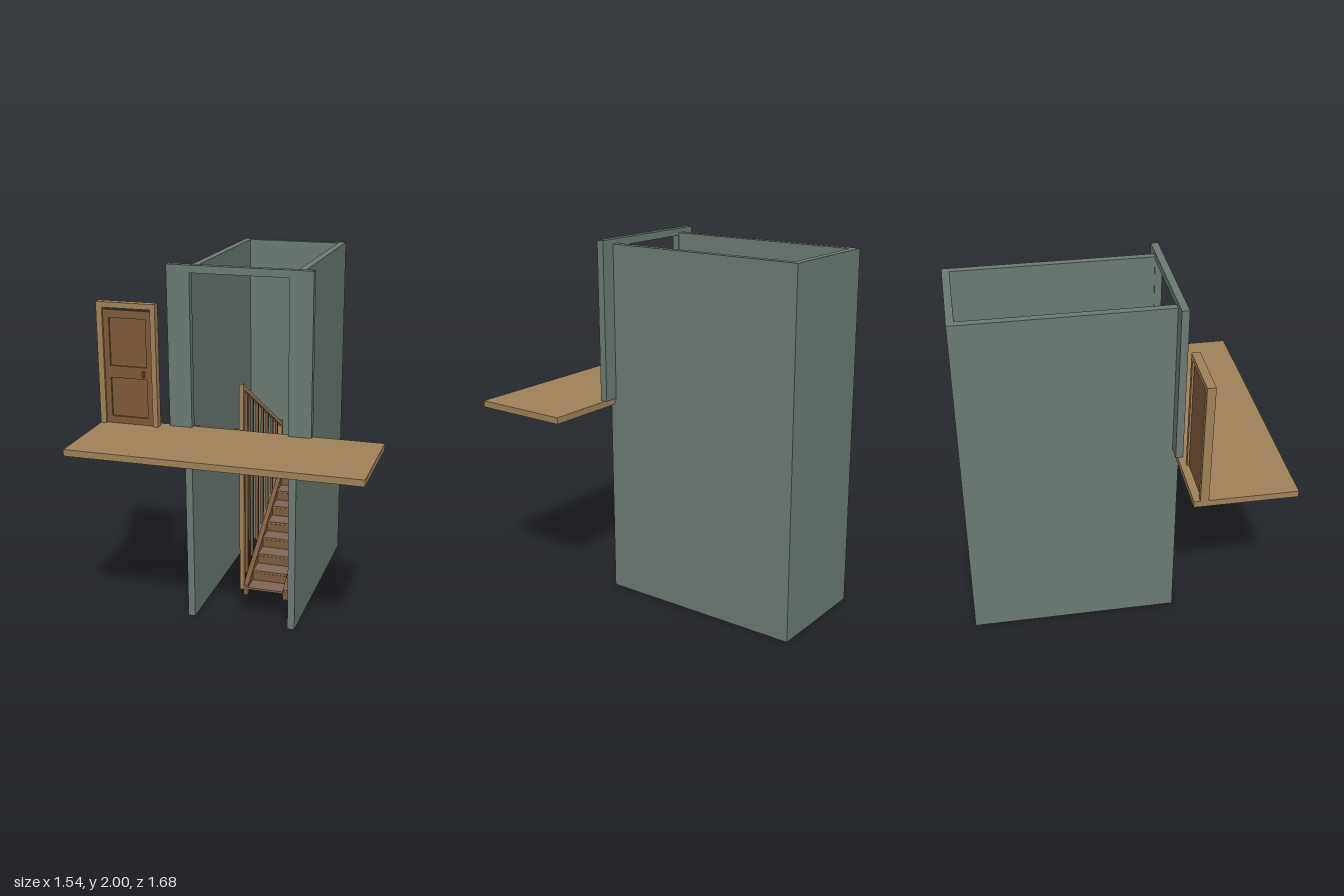
import * as THREE from 'three';

const mat = (name, color) => {
  const m = new THREE.MeshStandardMaterial({ color });
  m.name = name;
  return m;
};

export function createModel() {
  const root = new THREE.Group();
  root.name = 'stairwell';
  const wall = mat('grey green plaster', 0x6b7a72);
  const tan = mat('light wood', 0xa08258);
  const brown = mat('brown wood', 0x7d593b);
  const stone = mat('dull brown tread', 0x806656);

  const group = (name, parent = root) => {
    const g = new THREE.Group();
    g.name = name;
    parent.add(g);
    return g;
  };
  // Box given by its minimum and maximum on each axis
  const box = (parent, name, m, x0, x1, y0, y1, z0, z1) => {
    const mesh = new THREE.Mesh(new THREE.BoxGeometry(x1 - x0, y1 - y0, z1 - z0), m);
    mesh.position.set((x0 + x1) / 2, (y0 + y1) / 2, (z0 + z1) / 2);
    mesh.name = name;
    parent.add(mesh);
  };
  // Sloping board between two top points in the z-y plane
  const slope = (parent, name, m, x0, x1, za, ya, zb, yb, depth) => {
    const s = new THREE.Shape([
      new THREE.Vector2(za, ya - depth), new THREE.Vector2(zb, yb - depth),
      new THREE.Vector2(zb, yb), new THREE.Vector2(za, ya),
    ]);
    const g = new THREE.ExtrudeGeometry(s, { depth: x1 - x0, bevelEnabled: false });
    g.rotateY(-Math.PI / 2).translate(x1, 0, 0);
    const mesh = new THREE.Mesh(g, m);
    mesh.name = name;
    parent.add(mesh);
  };

  // Shaft, open at the top, bottom and front
  const shaft = group('shaft');
  box(shaft, 'leftWall', wall, 0.27, 0.31, 0, 1.975, -0.84, 0.32);
  box(shaft, 'rightWall', wall, -0.31, -0.27, 0, 1.975, -0.84, 0.32);
  box(shaft, 'backWall', wall, -0.27, 0.27, 0, 1.975, -0.84, -0.8);

  // Surround of the upper opening
  const surround = group('openingSurround');
  box(surround, 'leftJamb', wall, 0.265, 0.39, 1.13, 2, 0.286, 0.326);
  box(surround, 'rightJamb', wall, -0.39, -0.265, 1.13, 2, 0.286, 0.326);
  box(surround, 'lintel', wall, -0.265, 0.265, 1.96, 2, 0.286, 0.326);

  // Upper floor
  box(root, 'upperFloor', tan, -0.77, 0.77, 1.095, 1.13, 0.297, 0.84);

  // Door with its frame, two sunk panels and a knob
  const door = group('door');
  box(door, 'frameRight', tan, -0.77, -0.737, 1.13, 1.795, 0.33, 0.374);
  box(door, 'frameLeft', tan, -0.468, -0.44, 1.13, 1.795, 0.33, 0.374);
  box(door, 'frameHead', tan, -0.737, -0.468, 1.765, 1.795, 0.33, 0.374);
  const leaf = new THREE.Shape([
    new THREE.Vector2(-0.737, 1.131), new THREE.Vector2(-0.468, 1.131),
    new THREE.Vector2(-0.468, 1.753), new THREE.Vector2(-0.737, 1.753),
  ]);
  for (const [y0, y1] of [[1.17, 1.385], [1.45, 1.71]]) {
    leaf.holes.push(new THREE.Path([
      new THREE.Vector2(-0.705, y0), new THREE.Vector2(-0.705, y1),
      new THREE.Vector2(-0.5, y1), new THREE.Vector2(-0.5, y0),
    ]));
    box(door, 'panel', brown, -0.705, -0.5, y0, y1, 0.34, 0.352);
  }
  const leafMesh = new THREE.Mesh(new THREE.ExtrudeGeometry(leaf, { depth: 0.022, bevelEnabled: false }), brown);
  leafMesh.position.z = 0.34;
  leafMesh.name = 'doorLeaf';
  door.add(leafMesh);
  box(door, 'knob', brown, -0.521, -0.51, 1.4, 1.43, 0.362, 0.38);

  // Half landing on two legs
  const landing = group('landing');
  box(landing, 'landingFloor', tan, -0.27, 0.27, 0.655, 0.67, -0.8, -0.53);
  box(landing, 'landingBeam', brown, -0.27, 0.27, 0.6, 0.655, -0.545, -0.53);
  box(landing, 'landingNosing', brown, 0.012, 0.27, 0.64, 0.671, -0.538, -0.522);
  box(landing, 'rightLeg', brown, -0.27, -0.25, 0, 0.655, -0.795, -0.77);
  box(landing, 'leftLeg', brown, 0.245, 0.265, 0, 0.655, -0.795, -0.77);

  // Two flights of eight steps
  const rise = 0.0575, run = 0.1025, zTop = 0.29, zBack = -0.53;
  const upper = group('upperFlight'), lower = group('lowerFlight');
  for (let i = 1; i <= 8; i++) {
    const yu = 1.13 - rise * i, zu = zTop - run * i;
    box(upper, 'tread', tan, -0.243, -0.037, yu - 0.012, yu, zu - 0.004, zu + run);
    box(upper, 'riser', brown, -0.24, -0.04, yu, yu + rise - 0.012, zu + run - 0.006, zu + run);
    const yl = 0.67 - rise * i, zl = zBack + run * i;
    box(lower, 'tread', stone, 0.032, 0.238, yl - 0.012, yl, zl - run, zl + 0.004);
    box(lower, 'riser', brown, 0.035, 0.235, yl, yl + rise - 0.012, zl - run, zl - run + 0.006);
  }
  for (const [x0, x1] of [[-0.269, -0.24], [-0.04, -0.014]])
    slope(upper, 'stringer', brown, x0, x1, zBack, 0.68, zTop, 1.135, 0.06);
  for (const [x0, x1] of [[0.008, 0.035], [0.235, 0.266]])
    slope(lower, 'stringer', brown, x0, x1, zBack, 0.675, zTop, 0.22, 0.06);

  // Railing between the flights
  const railing = group('railing');
  box(railing, 'frontPost', tan, -0.014, 0.011, 0.19, 1.38, 0.26, 0.285);
  box(railing, 'backPost', tan, -0.014, 0.011, 0.6, 0.935, -0.54, -0.515);
  slope(railing, 'handrail', tan, -0.012, 0.01, zBack, 0.92, 0.27, 1.375, 0.025);
  for (let i = 1; i < 8; i++) {
    const z = zTop - run * i;
    box(railing, 'baluster', brown, -0.008, 0.007, 0.19 + rise * i, 1.365 - rise * i, z - 0.007, z + 0.007);
  }
  return root;
}
